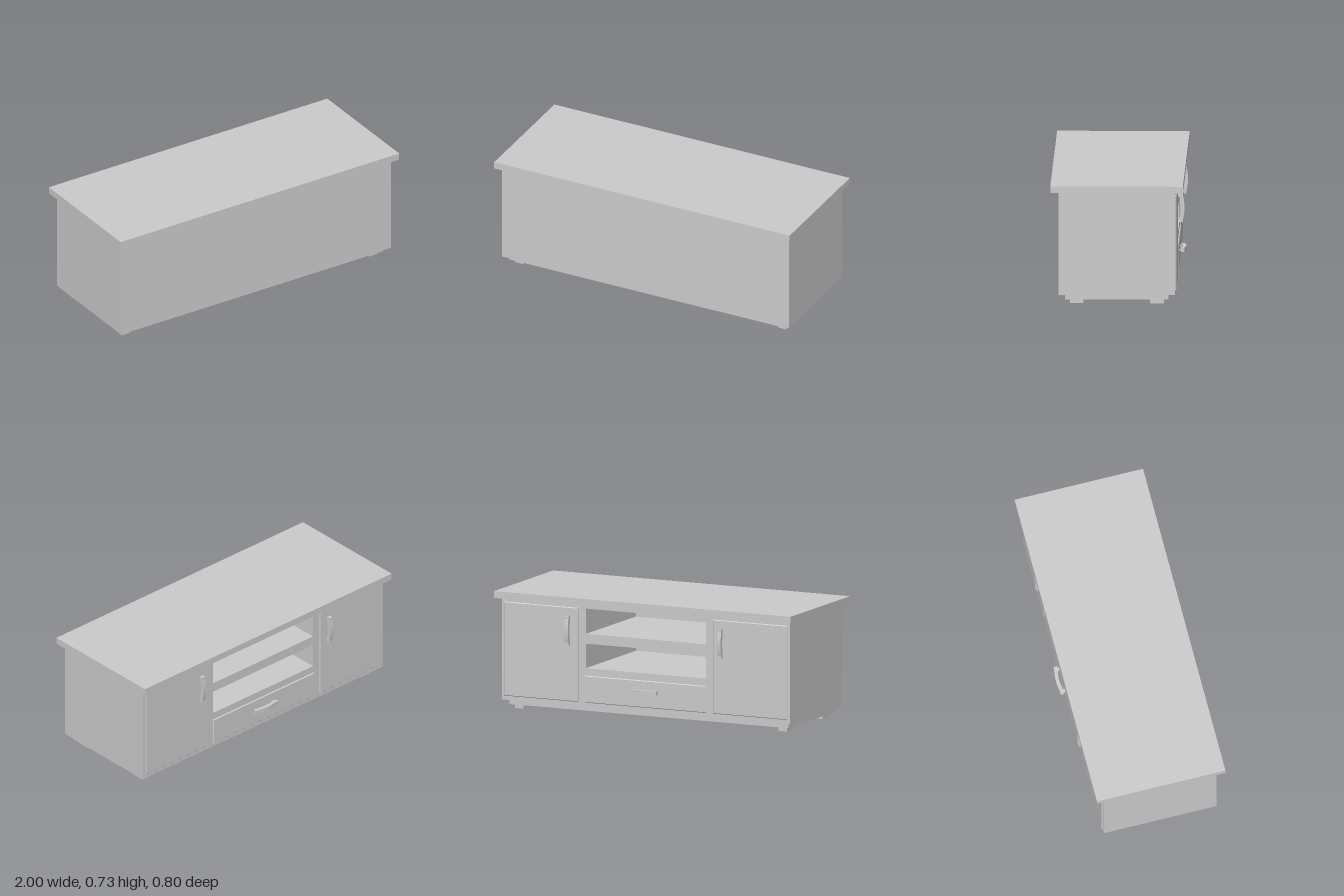
import * as THREE from 'three';

const material = new THREE.MeshStandardMaterial({ color: 0xcccccc });

function add(parent, name, geometry, x = 0, y = 0, z = 0) {
  const mesh = new THREE.Mesh(geometry, material);
  mesh.name = name;
  mesh.position.set(x, y, z);
  parent.add(mesh);
  return mesh;
}

// Box given by its extents along each axis
function box(parent, name, [x0, x1], [y0, y1], [z0, z1]) {
  return add(parent, name, new THREE.BoxGeometry(x1 - x0, y1 - y0, z1 - z0),
    (x0 + x1) / 2, (y0 + y1) / 2, (z0 + z1) / 2);
}

function rectangle(Type, x0, x1, y0, y1) {
  return new Type([[x0, y0], [x1, y0], [x1, y1], [x0, y1]].map(p => new THREE.Vector2(...p)));
}

const FACE = -0.352; // plane of the door side

// Thin panel with a chamfered outer edge, standing proud of the cabinet face
function panel(parent, name, x0, x1, y0, y1) {
  const b = 0.004;
  const geometry = new THREE.ExtrudeGeometry(rectangle(THREE.Shape, x0 + b, x1 - b, y0 + b, y1 - b), {
    depth: 0.004, bevelEnabled: true, bevelThickness: b, bevelSize: b, bevelSegments: 1,
  });
  add(parent, name, geometry, 0, 0, FACE - 0.004);
}

// Bowed bar handle with square ends and two posts, reaching out towards -z
function handle(parent, name, x, y, upright) {
  const group = new THREE.Group();
  group.name = name;
  const outline = new THREE.Shape();
  outline.moveTo(-0.089, 0.011);
  outline.lineTo(-0.062, 0.011);
  outline.quadraticCurveTo(0, 0.027, 0.062, 0.011);
  outline.lineTo(0.089, 0.011);
  outline.lineTo(0.089, 0.032);
  outline.lineTo(0.072, 0.032);
  outline.quadraticCurveTo(0, 0.048, -0.072, 0.032);
  outline.lineTo(-0.089, 0.032);
  const bar = new THREE.ExtrudeGeometry(outline, { depth: 0.025, bevelEnabled: false, curveSegments: 10 });
  bar.translate(0, 0, -0.0125).rotateX(-Math.PI / 2);
  add(group, 'handleBar', bar);
  for (const s of [-1, 1]) {
    add(group, 'handlePost', new THREE.BoxGeometry(0.02, 0.013, 0.014), s * 0.072, 0, -0.006);
  }
  group.position.set(x, y, FACE - 0.008);
  if (upright) group.rotation.z = Math.PI / 2;
  parent.add(group);
}

export function createModel() {
  const model = new THREE.Group();
  model.name = 'mediaCabinet';

  // Table top and recessed plinth
  box(model, 'top', [-1, 1], [0.686, 0.728], [-0.4, 0.4]);
  box(model, 'plinth', [-0.94, 0.94], [0.027, 0.06], [-0.312, 0.312]);

  // Carcass with two open shelf compartments, closed by the back panel
  const section = rectangle(THREE.Shape, -0.972, 0.972, 0.06, 0.686);
  for (const [y0, y1] of [[0.505, 0.66], [0.295, 0.445]]) {
    section.holes.push(rectangle(THREE.Path, -0.405, 0.405, y0, y1));
  }
  add(model, 'carcass', new THREE.ExtrudeGeometry(section, { depth: 0.674, bevelEnabled: false }), 0, 0, FACE);
  box(model, 'backPanel', [-0.972, 0.972], [0.06, 0.686], [0.322, 0.352]);

  // Doors and feet, mirrored left and right
  for (const s of [-1, 1]) {
    const [x0, x1] = [s * 0.455, s * 0.955].sort((a, b) => a - b);
    panel(model, 'door', x0, x1, 0.085, 0.661);
    handle(model, 'doorHandle', s * 0.515, 0.521, true);
    for (const t of [-1, 1]) {
      add(model, 'foot', new THREE.BoxGeometry(0.056, 0.027, 0.082), s * 0.888, 0.0135, t * 0.242);
    }
  }

  // Drawer below the shelves
  panel(model, 'drawerFront', -0.41, 0.41, 0.085, 0.25);
  handle(model, 'drawerHandle', 0, 0.185, false);

  return model;
}
